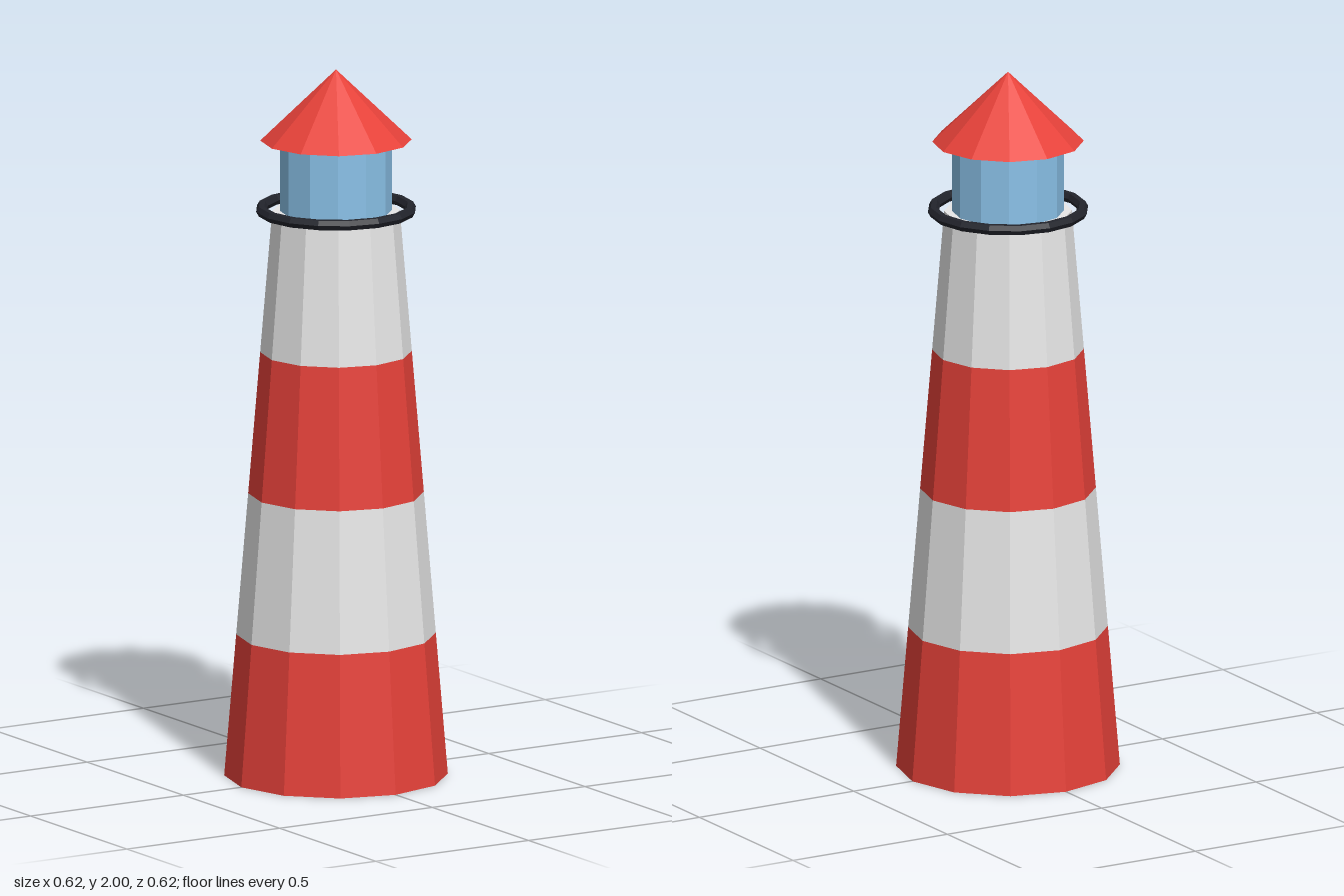
import * as THREE from 'three';

const SIDES = 12;

function material(name, color) {
  const m = new THREE.MeshStandardMaterial({ color, flatShading: true });
  m.name = name;
  return m;
}

export function createModel() {
  const red = material('red', 0xe8423a);
  const white = material('white', 0xeeeeee);
  const blue = material('glass blue', 0x8fc8f0);
  const dark = material('dark metal', 0x22242c);

  const group = new THREE.Group();
  group.name = 'lighthouse';

  function add(name, geometry, mat, y) {
    const mesh = new THREE.Mesh(geometry, mat);
    mesh.name = name;
    mesh.position.y = y;
    group.add(mesh);
    return mesh;
  }

  // Tapered tower in four striped bands; only the lowest and highest need caps
  const bands = 4, bandHeight = 0.4, baseRadius = 0.31, topRadius = 0.177;
  const radiusAt = (i) => THREE.MathUtils.lerp(baseRadius, topRadius, i / bands);
  for (let i = 0; i < bands; i++) {
    const open = i > 0 && i < bands - 1;
    add(
      `towerBand${i + 1}`,
      new THREE.CylinderGeometry(radiusAt(i + 1), radiusAt(i), bandHeight, SIDES, 1, open),
      i % 2 ? white : red,
      (i + 0.5) * bandHeight
    );
  }

  // Lantern room
  add('lanternRoom', new THREE.CylinderGeometry(0.155, 0.155, 0.2, SIDES), blue, 1.7);

  // Gallery railing ring
  const railing = new THREE.TorusGeometry(0.209, 0.0155, 6, 16).rotateX(Math.PI / 2);
  add('galleryRailing', railing, dark, 1.604);

  // Conical roof
  add('roof', new THREE.ConeGeometry(0.21, 0.2, SIDES), red, 1.9);

  return group;
}
